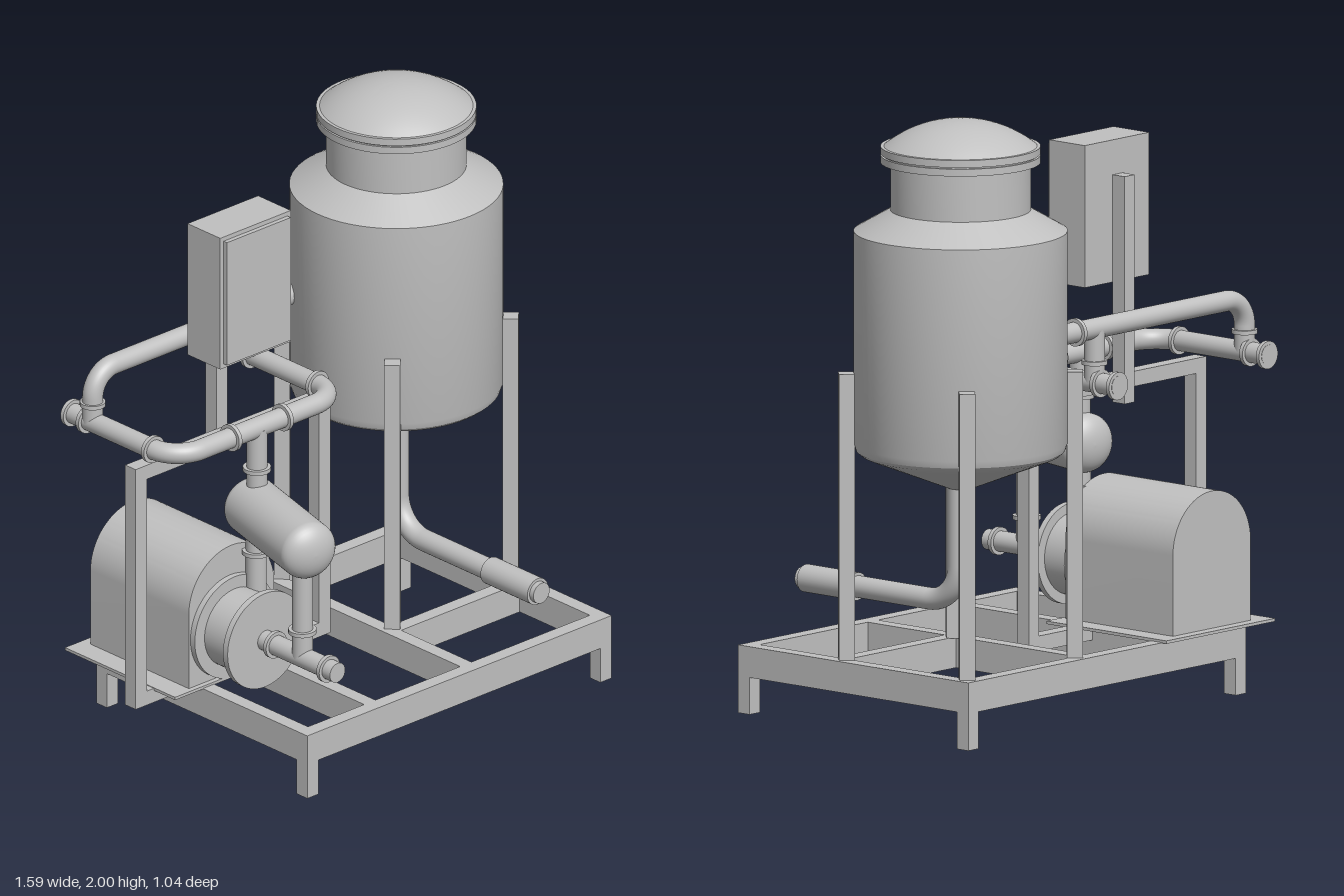
import * as THREE from 'three';
import { toCreasedNormals } from 'three/addons/utils/BufferGeometryUtils.js';

export function createModel() {
  const root = new THREE.Group();
  const steel = new THREE.MeshStandardMaterial({ color: 0xc0c0c0 });
  steel.name = 'brushed steel grey';
  const V = (x, y, z) => new THREE.Vector3(x, y, z);

  const add = (name, geometry, parent = root) => {
    const mesh = new THREE.Mesh(geometry, steel);
    mesh.name = name;
    parent.add(mesh);
    return mesh;
  };
  const group = (name) => {
    const g = new THREE.Group();
    g.name = name;
    root.add(g);
    return g;
  };
  // Box given by its minimum and maximum corners
  const box = (name, x0, x1, y0, y1, z0, z1, parent) =>
    add(name, new THREE.BoxGeometry(x1 - x0, y1 - y0, z1 - z0), parent)
      .position.set((x0 + x1) / 2, (y0 + y1) / 2, (z0 + z1) / 2);
  // Cylinder between two points
  const rod = (name, a, b, r, parent, sides = 32) => {
    const dir = b.clone().sub(a);
    const mesh = add(name, new THREE.CylinderGeometry(r, r, dir.length(), sides), parent);
    mesh.position.copy(a).add(b).multiplyScalar(0.5);
    mesh.quaternion.setFromUnitVectors(V(0, 1, 0), dir.normalize());
  };
  // Thin clamp ring around a pipe, centred on c along an axis
  const clamp = (c, axis, parent, r = 0.046, t = 0.014) =>
    rod('pipeClamp', c.clone().addScaledVector(axis, -t / 2), c.clone().addScaledVector(axis, t / 2), r, parent);
  // Pipe of straight runs joined by round elbows
  const pipe = (name, pts, r, bend, parent) => {
    let start = pts[0];
    for (let i = 1; i < pts.length; i++) {
      const p = pts[i];
      if (i === pts.length - 1) {
        rod(name, start, p, r, parent);
        break;
      }
      const toPrev = pts[i - 1].clone().sub(p).normalize();
      const toNext = pts[i + 1].clone().sub(p).normalize();
      const at = (d, s) => p.clone().addScaledVector(d, s);
      const a = at(toPrev, bend), b = at(toNext, bend);
      rod(name, start, a, r, parent);
      const arc = new THREE.CubicBezierCurve3(a, at(toPrev, bend * 0.448), at(toNext, bend * 0.448), b);
      add(name + 'Elbow', new THREE.TubeGeometry(arc, 14, r, 32), parent);
      start = b;
    }
  };
  const lathe = (pts, sides = 64) =>
    toCreasedNormals(new THREE.LatheGeometry(pts.map(([x, y]) => new THREE.Vector2(x, y)), sides), 0.45);
  const X = V(1, 0, 0), Y = V(0, 1, 0), Z = V(0, 0, 1);

  // Base frame with corner feet
  const base = group('baseFrame');
  const x0 = -0.593, x1 = 0.757, z0 = -0.488, z1 = 0.513, w = 0.05, yb = 0.122, yt = 0.224;
  for (const z of [z0, z1 - w]) {
    box('longRail', x0, x1, yb, yt, z, z + w, base);
    for (const x of [x0, x1 - w]) box('foot', x, x + w, 0, yb, z, z + w, base);
  }
  for (const x of [x0, -0.294, 0.132, x1 - w]) box('crossRail', x, x + w, yb, yt, z0 + w, z1 - w, base);
  box('tankRail', 0.182, x1 - w, yb, yt, 0.08, 0.13, base);

  // Upright pipe support frame
  const gantry = group('supportFrame');
  for (const x of [-0.797, 0.016]) box('supportPost', x, x + w, 0.18, 1.038, -0.133, -0.083, gantry);
  for (const y of [0.18, 0.988]) box('supportBeam', -0.747, 0.016, y, y + w, -0.133, -0.083, gantry);

  // Tank shell, neck, double flange and domed lid
  const tank = group('tank');
  const tx = 0.446, tz = -0.176;
  tank.position.set(tx, 0, tz);
  add('tankShell', lathe([
    [0, 0.78], [0.04, 0.785], [0.30, 0.888], [0.325, 0.899], [0.34, 0.912], [0.347, 0.935],
    [0.347, 1.634], [0.228, 1.703], [0.228, 1.87],
  ]), tank);
  add('tankFlange', lathe([
    [0.2, 1.86], [0.26, 1.86], [0.26, 1.884], [0.252, 1.884], [0.252, 1.889], [0.26, 1.889], [0.26, 1.913], [0.2, 1.913],
  ]), tank);
  const dome = [[0.25, 1.905], [0.25, 1.912]];
  const domeR = (0.25 ** 2 + 0.088 ** 2) / (2 * 0.088), domeA = Math.asin(0.25 / domeR);
  for (let i = 1; i <= 12; i++) {
    const a = domeA * (1 - i / 12);
    dome.push([domeR * Math.sin(a), 2 - domeR + domeR * Math.cos(a)]);
  }
  add('tankLid', lathe(dome), tank);
  for (const sx of [-1, 1]) for (const sz of [-1, 1]) {
    const leg = add('tankLeg', new THREE.BoxGeometry(0.052, 0.945, 0.052), tank);
    leg.position.set(sx * 0.262, 0.6945, sz * 0.262);
    leg.rotation.y = Math.PI / 4;
  }

  // Tank outlet
  const outlet = group('tankOutlet');
  pipe('outletPipe', [V(tx, 0.82, tz + 0.008), V(tx, 0.403, tz + 0.008), V(tx, 0.403, 0.513)], 0.036, 0.125, outlet);
  rod('outletSleeve', V(tx, 0.403, 0.272), V(tx, 0.403, 0.495), 0.046, outlet);

  // Motor housing with arched top, on a plate
  const motor = group('motor');
  const mx = -0.449, mr = 0.189;
  box('motorPlate', -0.716, -0.187, 0.222, 0.232, -0.505, 0.017, motor);
  const arch = new THREE.Shape();
  arch.moveTo(-mr, 0.228);
  arch.lineTo(mr, 0.228);
  arch.lineTo(mr, 0.496);
  arch.absarc(0, 0.496, mr, 0, Math.PI, false);
  arch.closePath();
  const housing = new THREE.ExtrudeGeometry(arch, { depth: 0.467, bevelEnabled: false, curveSegments: 32 });
  add('motorHousing', toCreasedNormals(housing, 0.5), motor).position.set(mx, 0, -0.468);

  // Pump casing and suction line
  const pump = group('pump');
  const px = -0.453, py = 0.403;
  const P = (z) => V(px, py, z);
  rod('pumpBackPlate', P(-0.01), P(0.02), 0.178, pump, 64);
  rod('pumpCasing', P(0), P(0.15), 0.135, pump, 64);
  rod('pumpFrontPlate', P(0.142), P(0.164), 0.167, pump, 64);
  rod('suctionPipe', P(0.15), P(0.507), 0.034, pump);
  for (const z of [0.21, 0.462]) clamp(P(z), Z, pump);

  // Slanted round-ended vessel with its connecting pipes
  const vessel = group('vessel');
  const cap = [];
  for (let i = 0; i <= 20; i++) {
    const a = -Math.PI / 2 + Math.PI * i / 20 ;
    cap.push([Math.max(0, 0.098 * Math.cos(a)), Math.sin(a) * 0.06 + (i <= 10 ? -0.19 : 0.19)]);
    if (i === 10) cap.push([0.098, 0.19]);
  }
  const body = new THREE.LatheGeometry(cap.map(([x, y]) => new THREE.Vector2(x, y)), 48);
  body.rotateX(Math.PI / 2);
  body.rotateY(-0.264);
  add('vesselBody', body, vessel).position.set(-0.408, 0.798, 0.185);
  rod('vesselInlet', V(px, py, 0.34), V(px, 0.76, 0.34), 0.034, vessel);
  clamp(V(px, 0.498, 0.34), Y, vessel);
  rod('pumpDischarge', V(-0.37, 0.40, 0.032), V(-0.37, 0.78, 0.032), 0.034, vessel);
  clamp(V(-0.37, 0.65, 0.032), Y, vessel);
  rod('vesselRiser', V(-0.37, 0.8, 0.035), V(-0.37, 1.092, 0.035), 0.034, vessel);
  clamp(V(-0.37, 0.948, 0.035), Y, vessel);

  // U-shaped manifold
  const manifold = group('manifold');
  const lx = -0.729, my = 1.093;
  pipe('manifoldPipe', [V(lx, my, -0.465), V(lx, my, 0.034), V(0, my, 0.034), V(0, my, -0.465)], 0.034, 0.11, manifold);
  for (const x of [-0.483, -0.255]) clamp(V(x, my, 0.034), X, manifold);
  for (const x of [lx, 0]) {
    for (const z of [-0.075, -0.385, -0.457]) clamp(V(x, my, z), Z, manifold);
    clamp(V(x, 1.16, -0.36), Y, manifold, 0.042);
  }

  // Return line into the tank
  const ret = group('returnLine');
  pipe('returnPipe', [V(lx, my, -0.36), V(lx, 1.271, -0.36), V(0.2, 1.271, -0.36)], 0.034, 0.09, ret);
  rod('returnBranch', V(0, my, -0.36), V(0, 1.271, -0.36), 0.034, ret);
  clamp(V(0.093, 1.271, -0.36), X, ret);

  // Control cabinet on its post
  const cabinet = group('controlCabinet');
  box('cabinetBody', -0.523, -0.21, 1.346, 1.815, -0.13, 0.025, cabinet);
  box('cabinetDoor', -0.508, -0.225, 1.361, 1.8, 0.025, 0.041, cabinet);
  box('cabinetPost', -0.394, -0.345, 0.95, 1.7, -0.182, -0.13, cabinet);

  return root;
}
